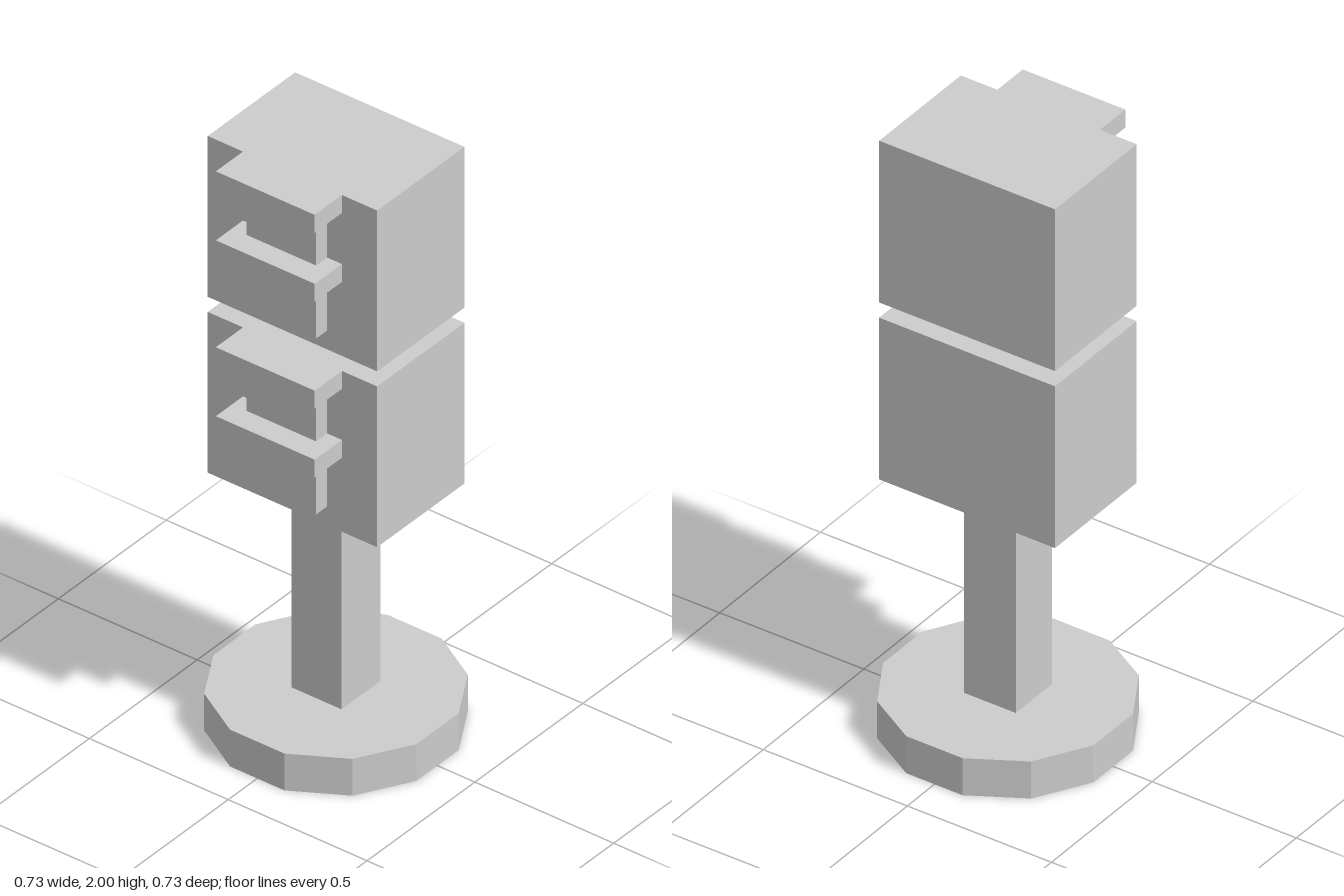
import * as THREE from 'three';

const grey = new THREE.MeshStandardMaterial({ color: 0xcccccc });
grey.name = 'grey';

// Box given by its lower and upper limits on each axis
function block(name, [x0, x1], [y0, y1], [z0, z1]) {
  const mesh = new THREE.Mesh(new THREE.BoxGeometry(x1 - x0, y1 - y0, z1 - z0), grey);
  mesh.position.set((x0 + x1) / 2, (y0 + y1) / 2, (z0 + z1) / 2);
  mesh.name = name;
  return mesh;
}

// Signal housing with a lamp panel and two hoods, measured down from its top
function signalHead(name, top) {
  const head = new THREE.Group();
  head.name = name;
  head.position.y = top;
  head.add(
    block('housing', [-0.305, 0.305], [-0.555, 0], [-0.203, 0.202]),
    block('lampPanel', [-0.125, 0.125], [-0.49, -0.03], [0.19, 0.253])
  );
  for (const y of [0, -0.238]) {
    head.add(block('hood', [-0.178, 0.178], [y - 0.062, y], [0.19, 0.328]));
  }
  return head;
}

export function createModel() {
  const model = new THREE.Group();
  model.name = 'signalLight';

  // Twelve-sided foot with flats facing the axes
  const footShape = new THREE.CylinderGeometry(0.378, 0.378, 0.127, 12).toNonIndexed();
  footShape.rotateY(Math.PI / 12);
  footShape.computeVertexNormals();
  const foot = new THREE.Mesh(footShape, grey);
  foot.position.y = 0.0635;
  foot.name = 'foot';

  // Square post running up into the upper head
  const post = block('post', [-0.09, 0.09], [0.1, 1.5], [-0.09, 0.09]);

  model.add(foot, post, signalHead('lowerHead', 1.393), signalHead('upperHead', 2));
  return model;
}
